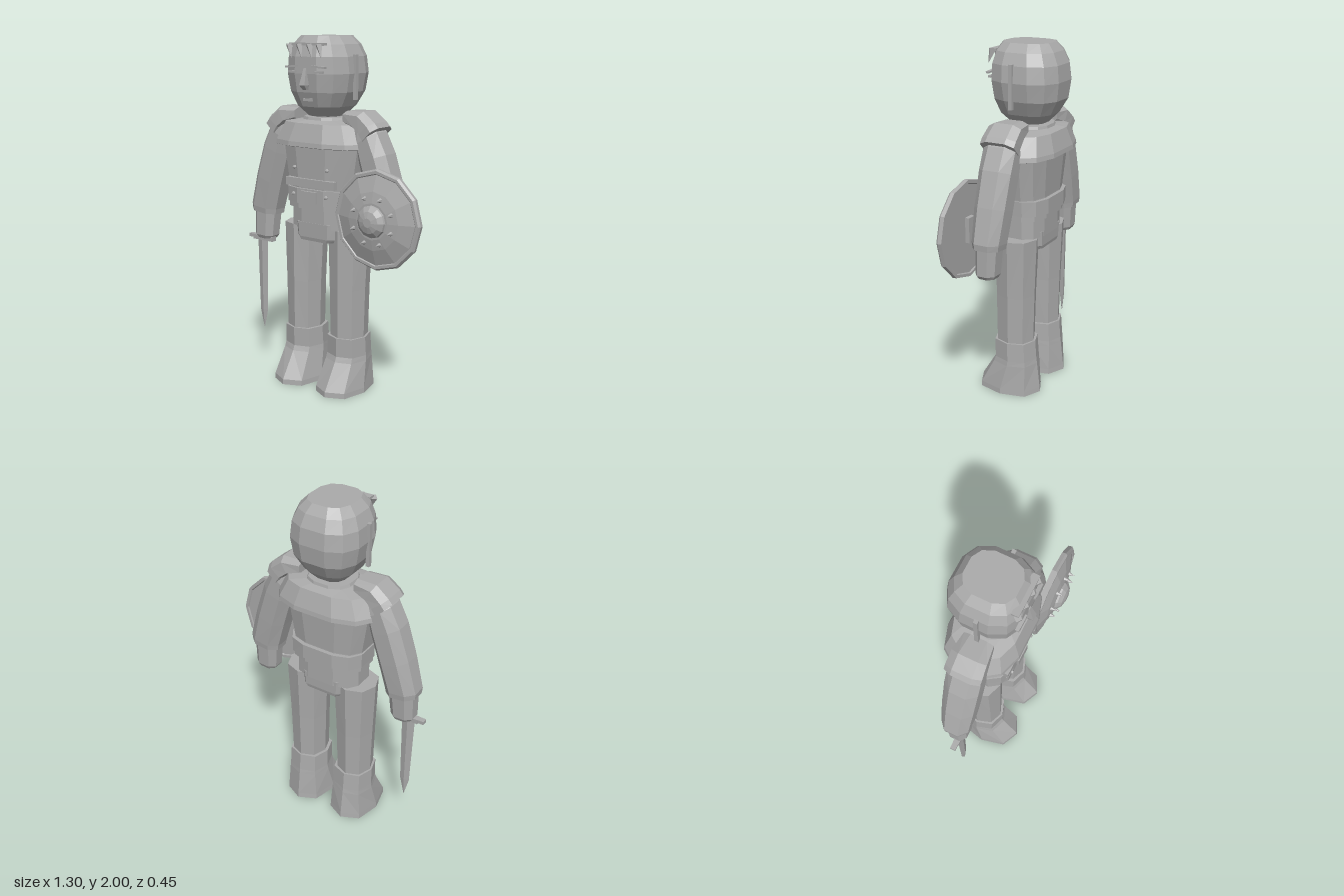
import * as THREE from 'three';

const grey = new THREE.MeshStandardMaterial({ color: 0xaaaaaa, flatShading: true });
grey.name = 'stone grey';

function add(parent, name, geometry, x = 0, y = 0, z = 0) {
  const mesh = new THREE.Mesh(geometry, grey);
  mesh.name = name;
  mesh.position.set(x, y, z);
  parent.add(mesh);
  return mesh;
}
const box = (w, h, d) => new THREE.BoxGeometry(w, h, d);

// Closed skin over rings [x1, y1, x2, y2, zBack, zFront]; each ring spans two points in the xy plane.
function loft(rings, sides = 8, power = 2, turn = 0) {
  const pos = [];
  const bend = (v) => Math.sign(v) * Math.abs(v) ** (2 / power);
  const loops = rings.map(([x1, y1, x2, y2, zb, zf]) => {
    const loop = [];
    for (let j = 0; j < sides; j++) {
      const t = ((j + turn) / sides) * Math.PI * 2;
      const u = bend(Math.cos(t)) / 2, v = bend(Math.sin(t)) / 2;
      loop.push([(x1 + x2) / 2 + u * (x2 - x1), (y1 + y2) / 2 + u * (y2 - y1), (zb + zf) / 2 + v * (zf - zb)]);
    }
    return loop;
  });
  const centre = ([x1, y1, x2, y2, zb, zf]) => [(x1 + x2) / 2, (y1 + y2) / 2, (zb + zf) / 2];
  const last = loops.length - 1;
  for (let j = 0; j < sides; j++) {
    const k = (j + 1) % sides;
    for (let i = 0; i < last; i++) {
      const a = loops[i][j], b = loops[i][k], c = loops[i + 1][k], d = loops[i + 1][j];
      pos.push(...a, ...d, ...b, ...b, ...d, ...c);
    }
    pos.push(...centre(rings[0]), ...loops[0][j], ...loops[0][k]);
    pos.push(...centre(rings[last]), ...loops[last][k], ...loops[last][j]);
  }
  const g = new THREE.BufferGeometry();
  g.setAttribute('position', new THREE.Float32BufferAttribute(pos, 3));
  g.computeVertexNormals();
  return g;
}
// Level rings [y, halfWidth, zBack, zFront] around a centre x
const level = (rows, cx = 0) => rows.map(([y, w, zb, zf]) => [cx - w, y, cx + w, y, zb, zf]);

function buildHead(body) {
  const head = new THREE.Group();
  head.name = 'head';
  body.add(head);
  add(head, 'skull', loft(level([
    [1.565, 0.09, -0.11, 0.09], [1.62, 0.145, -0.165, 0.145], [1.7, 0.187, -0.212, 0.175],
    [1.8, 0.206, -0.225, 0.187], [1.89, 0.196, -0.215, 0.184], [1.955, 0.168, -0.185, 0.165],
    [2.0, 0.125, -0.147, 0.133],
  ]), 12, 2.7, 0.5));
  add(head, 'nose', loft(level([
    [1.715, 0.018, 0.16, 0.195], [1.74, 0.026, 0.16, 0.222], [1.83, 0.012, 0.165, 0.19],
  ]), 4, 2, 0.5));
  add(head, 'mouth', box(0.06, 0.014, 0.02), 0, 1.66, 0.157);
  for (const s of [-1, 1]) {
    const brow = add(head, 'brow', box(0.09, 0.01, 0.02), s * 0.09, 1.838, 0.18);
    brow.rotation.z = -s * 0.08;
    add(head, 'eye', box(0.055, 0.012, 0.02), s * 0.09, 1.81, 0.178);
    add(head, 'sideLock', box(0.02, 0.24, 0.022), s * 0.2, 1.78, 0);
  }
  // Fringe of short pointed locks
  add(head, 'fringeBand', box(0.23, 0.014, 0.04), 0, 1.956, 0.158);
  for (const x of [-0.105, -0.035, 0.035, 0.1]) {
    const lock = add(head, 'fringeLock', new THREE.ConeGeometry(0.022, 0.075, 4), x, 1.918, 0.18);
    lock.rotation.set(-0.15, 0, Math.PI + 0.3);
  }
}

function buildTorso(body) {
  add(body, 'neck', loft(level([[1.52, 0.08, -0.1, 0.08], [1.6, 0.08, -0.1, 0.08]]), 8, 2, 0.5));
  add(body, 'collar', loft(level([[1.52, 0.145, -0.15, 0.12], [1.56, 0.13, -0.14, 0.105]]), 12, 2.5, 0.5));
  add(body, 'mantle', loft(level([
    [1.4, 0.295, -0.205, 0.18], [1.405, 0.31, -0.225, 0.198], [1.43, 0.305, -0.222, 0.195],
    [1.53, 0.25, -0.19, 0.16], [1.545, 0.14, -0.14, 0.11],
  ]), 12, 2.8, 0.5));
  add(body, 'chest', loft(level([
    [1.05, 0.215, -0.155, 0.135], [1.17, 0.222, -0.155, 0.14], [1.41, 0.262, -0.172, 0.15],
  ]), 12, 3, 0.5));
  add(body, 'belt', loft(level([[1.08, 0.228, -0.178, 0.155], [1.165, 0.23, -0.178, 0.155]]), 12, 3, 0.5));
  add(body, 'lowerBelt', loft(level([[1.05, 0.223, -0.165, 0.145], [1.08, 0.223, -0.165, 0.145]]), 12, 3, 0.5));
  add(body, 'hips', loft(level([[0.94, 0.203, -0.148, 0.13], [1.06, 0.203, -0.148, 0.13]]), 12, 3, 0.5));
  add(body, 'loinFlap', loft(level([
    [0.865, 0.13, -0.14, 0.125], [0.885, 0.145, -0.145, 0.13], [0.97, 0.155, -0.148, 0.133],
  ]), 8, 5, 0.5));
  add(body, 'chestBar', box(0.34, 0.045, 0.03), 0, 1.2, 0.14);
  add(body, 'buckle', box(0.105, 0.065, 0.03), 0, 1.122, 0.15);
  for (const s of [-1, 1]) {
    for (const [y, z] of [[1.28, 0.143], [1.132, 0.153]]) {
      add(body, 'rivet', new THREE.SphereGeometry(0.012, 6, 4), s * 0.115, y, z);
    }
  }
}

// One side's leg, boot and arm, built for +x
function buildLimbs(body, side) {
  const limbs = new THREE.Group();
  limbs.name = side > 0 ? 'leftLimbs' : 'rightLimbs';
  limbs.scale.x = side;
  body.add(limbs);
  add(limbs, 'leg', loft(level([
    [0.28, 0.1, -0.118, 0.103], [0.6, 0.108, -0.125, 0.105], [0.94, 0.123, -0.138, 0.105],
  ], 0.158), 8, 2.2));
  add(limbs, 'boot', loft(level([
    [0, 0.137, -0.163, 0.22], [0.03, 0.135, -0.16, 0.218], [0.18, 0.121, -0.142, 0.125],
    [0.21, 0.118, -0.138, 0.113], [0.32, 0.115, -0.13, 0.115],
  ], 0.155), 8, 2.4));
  add(limbs, 'hand', loft([
    [0.4, 0.8, 0.515, 0.805, -0.055, 0.05], [0.385, 0.82, 0.53, 0.825, -0.065, 0.06],
    [0.37, 0.96, 0.53, 0.98, -0.075, 0.06],
  ], 8, 2.5, 0.5));
  add(limbs, 'sleeve', loft([
    [0.355, 0.955, 0.545, 0.975, -0.09, 0.075], [0.35, 0.985, 0.548, 1.01, -0.095, 0.08],
    [0.305, 1.14, 0.497, 1.2, -0.105, 0.09], [0.25, 1.32, 0.435, 1.385, -0.11, 0.095],
    [0.235, 1.41, 0.375, 1.5, -0.11, 0.095], [0.23, 1.48, 0.28, 1.58, -0.09, 0.075],
  ], 8, 2.5, 0.5));
  add(limbs, 'shoulderPad', loft([
    [0.29, 1.43, 0.387, 1.525, -0.115, 0.1], [0.265, 1.47, 0.365, 1.55, -0.115, 0.1],
    [0.23, 1.5, 0.29, 1.608, -0.11, 0.095], [0.17, 1.53, 0.17, 1.603, -0.095, 0.08],
  ], 8, 3, 0.5));
}

function buildShield(root) {
  const shield = new THREE.Group();
  shield.name = 'shield';
  shield.position.set(0.375, 1.05, 0);
  root.add(shield);
  // Turned profile [radius, z]
  const turned = (name, profile, sides) => {
    const g = new THREE.LatheGeometry(profile.map(([r, z]) => new THREE.Vector2(r, z)), sides);
    g.rotateX(Math.PI / 2);
    add(shield, name, g);
  };
  turned('shieldDisc', [
    [0, 0.125], [0.25, 0.125], [0.255, 0.118], [0.272, 0.118], [0.275, 0.14], [0.265, 0.152], [0.25, 0.152],
    [0.245, 0.147], [0.16, 0.176], [0.1, 0.187], [0, 0.187],
  ], 12);
  turned('shieldBoss', [[0.09, 0.18], [0.085, 0.198], [0.06, 0.218], [0.025, 0.228], [0, 0.228]], 12);
  for (let i = 0; i < 8; i++) {
    const a = ((i + 0.5) / 8) * Math.PI * 2;
    const stud = add(shield, 'stud', new THREE.ConeGeometry(0.014, 0.04, 6),
      Math.cos(a) * 0.128, Math.sin(a) * 0.128, 0.197);
    stud.rotation.x = Math.PI / 2;
  }
  add(shield, 'armStrap', box(0.03, 0.14, 0.025), -0.1, 0, 0.113);
  add(shield, 'handStrap', box(0.06, 0.14, 0.025), 0.0, 0, 0.113);
}

function buildSword(root) {
  const sword = new THREE.Group();
  sword.name = 'sword';
  sword.position.set(-0.55, 0, 0.012);
  root.add(sword);
  add(sword, 'blade', loft(level([
    [0.23, 0.002, -0.002, 0.002], [0.34, 0.029, -0.009, 0.009], [0.79, 0.04, -0.012, 0.012],
  ]), 4));
  add(sword, 'guard', box(0.15, 0.028, 0.036), 0.012, 0.797, 0);
  add(sword, 'guardTip', box(0.04, 0.02, 0.032), -0.08, 0.802, 0);
}

export function createModel() {
  const root = new THREE.Group();
  root.name = 'warrior';
  const body = new THREE.Group();
  body.name = 'body';
  body.position.x = -0.07;
  root.add(body);
  buildHead(body);
  buildTorso(body);
  for (const side of [-1, 1]) buildLimbs(body, side);
  buildShield(root);
  buildSword(root);
  return root;
}
